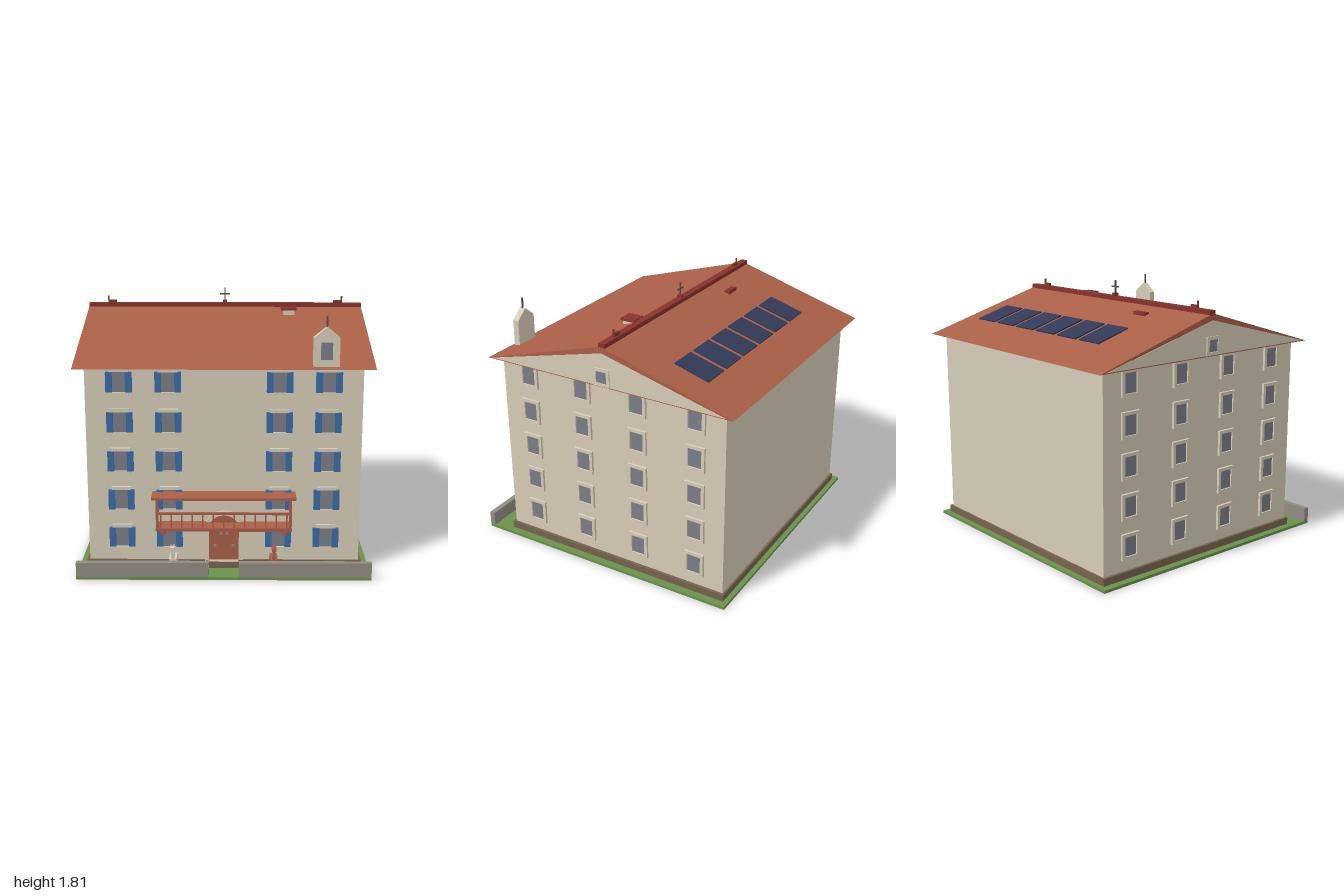
import * as THREE from 'three';

const mat = (name, color) => {
  const m = new THREE.MeshStandardMaterial({ color });
  m.name = name;
  return m;
};

export function createModel() {
  const root = new THREE.Group();
  root.name = 'apartmentHouse';
  const M = {
    wall: mat('cream plaster', 0xd6ccb7),
    roof: mat('terracotta', 0xaa5f47),
    ridge: mat('dark red tile', 0x88322c),
    blue: mat('shutter blue', 0x376ca8),
    glass: mat('window grey', 0x7b7d88),
    solar: mat('solar navy', 0x313a58),
    grass: mat('grass green', 0x6b924c),
    stone: mat('stone grey', 0x918b82),
    plinth: mat('plinth brown', 0x75644d),
    metal: mat('dark metal', 0x55524a),
  };

  // Helpers: a box given by its extents, and a profile extruded along z
  const add = (name, geo, m, parent = root) => {
    const mesh = new THREE.Mesh(geo, m);
    mesh.name = name;
    parent.add(mesh);
    return mesh;
  };
  const box = (name, m, x0, x1, y0, y1, z0, z1, parent) => {
    const g = new THREE.BoxGeometry(x1 - x0, y1 - y0, z1 - z0);
    g.translate((x0 + x1) / 2, (y0 + y1) / 2, (z0 + z1) / 2);
    return add(name, g, m, parent);
  };
  const poly = (pts) => new THREE.Shape(pts.map(([x, y]) => new THREE.Vector2(x, y)));
  const extrude = (shape, depth, z) =>
    new THREE.ExtrudeGeometry(shape, { depth, bevelEnabled: false, curveSegments: 12 }).translate(0, 0, z);

  // Ground, building body and front garden wall
  box('ground', M.grass, -0.98, 0.98, 0, 0.02, -0.97, 1);
  box('plinth', M.plinth, -0.93, 0.93, 0.02, 0.07, -0.935, 0.825);
  box('walls', M.wall, -0.91, 0.91, 0.02, 1.405, -0.92, 0.81);
  for (const s of [-1, 1]) {
    box('gardenWall', M.stone, Math.min(s * 0.1, s * 0.98), Math.max(s * 0.1, s * 0.98), 0.02, 0.12, 0.96, 1);
  }

  // Roof prism with gable plates on both ends
  const alongX = (pts, halfLength) =>
    extrude(poly(pts), halfLength * 2, -halfLength).rotateY(Math.PI / 2);
  add('roof', alongX([[-0.88, 1.4], [1, 1.4], [0.055, 1.68]], 0.982), M.roof);
  add('gables', alongX([[-0.84, 1.407], [0.95, 1.407], [0.055, 1.635]], 0.985), M.wall);
  box('ridge', M.ridge, -0.982, 0.982, 1.665, 1.7, -0.085, -0.035);
  for (const s of [-1, 1]) {
    box('ridgeBlock', M.ridge, s * 0.815 - 0.03, s * 0.815 + 0.03, 1.7, 1.72, -0.07, -0.05);
    box('ridgeSpike', M.ridge, s * 0.843 - 0.005, s * 0.843 + 0.005, 1.72, 1.75, -0.065, -0.055);
  }

  // Ridge cross
  box('crossBase', M.ridge, -0.015, 0.015, 1.7, 1.72, -0.075, -0.04);
  box('crossPost', M.metal, -0.005, 0.005, 1.7, 1.81, -0.062, -0.052);
  box('crossArm', M.metal, -0.035, 0.035, 1.76, 1.77, -0.062, -0.052);

  // Roof vents
  box('chimney', M.wall, 0.415, 0.495, 1.62, 1.668, 0.015, 0.1);
  box('chimneyCap', M.ridge, 0.4, 0.51, 1.667, 1.682, 0, 0.11);
  box('rearVent', M.ridge, -0.515, -0.405, 1.61, 1.65, -0.235, -0.195);

  // Solar panels, parallel to the rear slope
  const tilt = Math.atan2(0.28, 0.945);
  for (let i = 0; i < 6; i++) {
    const p = add('solarPanel', new THREE.BoxGeometry(0.2, 0.009, 0.257), M.solar);
    p.position.set(-0.52 + i * 0.239, 1.546, -0.593);
    p.rotation.x = -tilt;
  }

  // Small bell gable above the front eave
  add('bellGable', extrude(poly([[0.577, 1.4], [0.747, 1.4], [0.747, 1.6], [0.662, 1.67], [0.577, 1.6]]), 0.045, 0.795), M.wall);
  box('bellGableWindow', M.glass, 0.624, 0.7, 1.46, 1.57, 0.84, 0.847);
  box('bellGableSpike', M.metal, 0.657, 0.667, 1.66, 1.74, 0.813, 0.823);

  // Windows are built facing +z at the origin, then placed on a wall
  const makeWindow = (w, h, shutters) => {
    const g = new THREE.Group();
    g.name = shutters ? 'shutteredWindow' : 'window';
    const f = 0.022;
    box('frameTop', M.wall, -w / 2 - f, w / 2 + f, h / 2, h / 2 + f, 0, 0.018, g);
    box('frameBottom', M.wall, -w / 2 - f, w / 2 + f, -h / 2 - f, -h / 2, 0, 0.018, g);
    box('pane', M.glass, -w / 2, w / 2, -h / 2, h / 2, 0, 0.008, g);
    for (const s of [-1, 1]) {
      const c = s * (w / 2 + (shutters ? 0.0215 : f / 2));
      const half = shutters ? 0.0215 : f / 2;
      box(shutters ? 'shutter' : 'frameSide', shutters ? M.blue : M.wall,
        c - half, c + half, -h / 2, h / 2, 0, shutters ? 0.024 : 0.018, g);
    }
    root.add(g);
    return g;
  };
  for (const y of [0.235, 0.502, 0.769, 1.036, 1.305]) {
    for (const x of [-0.685, -0.365, 0.365, 0.685]) {
      makeWindow(0.086, 0.134, true).position.set(x, y, 0.81);
    }
    for (const z of [0.59, 0.16, -0.27, -0.705]) {
      for (const s of [-1, 1]) {
        const w = makeWindow(0.1, 0.132, false);
        w.position.set(s * 0.91, y, z);
        w.rotation.y = s * Math.PI / 2;
      }
    }
  }
  for (const s of [-1, 1]) {
    const w = makeWindow(0.078, 0.08, false);
    w.name = 'gableWindow';
    w.position.set(s * 0.984, 1.47, -0.055);
    w.rotation.y = s * Math.PI / 2;
    w.scale.z = 0.5;
  }

  // Arched door with plaster surround
  const arch = (r, top) => {
    const s = new THREE.Shape();
    s.moveTo(-r, 0.02);
    s.lineTo(r, 0.02);
    s.lineTo(r, 0.3);
    s.absellipse(0, 0.3, r, top - 0.3, 0, Math.PI, false);
    s.closePath();
    return s;
  };
  add('doorSurround', extrude(arch(0.128, 0.42), 0.02, 0.805), M.wall);
  add('door', extrude(arch(0.1, 0.39), 0.026, 0.805), M.roof);
  box('doorSill', M.wall, -0.1, 0.1, 0.065, 0.075, 0.81, 0.845);
  box('doorStep', M.plinth, -0.1, 0.1, 0.02, 0.065, 0.81, 0.845);
  for (const x of [-0.06, -0.02, 0.02, 0.06]) {
    const y = Math.abs(x) > 0.04 ? 0.18 : 0.262;
    box('doorFitting', M.stone, x - 0.01, x + 0.01, y - 0.008, y + 0.008, 0.83, 0.835);
  }

  // Balcony with canopy
  const balcony = new THREE.Group();
  balcony.name = 'balcony';
  root.add(balcony);
  box('balconyFloor', M.roof, -0.45, 0.45, 0.32, 0.343, 0.81, 0.945, balcony);
  box('canopy', M.roof, -0.477, 0.477, 0.54, 0.557, 0.81, 0.957, balcony);
  box('frontRail', M.roof, -0.45, 0.45, 0.435, 0.45, 0.925, 0.94, balcony);
  for (const s of [-1, 1]) {
    box('post', M.roof, s * 0.44 - 0.009, s * 0.44 + 0.009, 0.343, 0.54, 0.923, 0.941, balcony);
    box('sideRail', M.roof, s * 0.44 - 0.007, s * 0.44 + 0.007, 0.435, 0.45, 0.81, 0.925, balcony);
    box('bracket', M.roof, s * 0.405 - 0.016, s * 0.405 + 0.016, 0.283, 0.32, 0.81, 0.91, balcony);
  }
  for (let i = -6; i <= 6; i++) {
    box('baluster', M.roof, i * 0.0695 - 0.005, i * 0.0695 + 0.005, 0.343, 0.435, 0.927, 0.937, balcony);
  }

  // Two long-necked animals in the front garden
  for (const [x, m] of [[0.333, M.roof], [-0.34, M.wall]]) {
    const a = new THREE.Group();
    a.name = 'gardenAnimal';
    a.position.x = x;
    root.add(a);
    box('body', m, -0.026, 0.026, 0.075, 0.127, 0.835, 0.95, a);
    box('neck', m, -0.01, 0.01, 0.12, 0.2, 0.936, 0.956, a);
    box('head', m, -0.015, 0.015, 0.195, 0.22, 0.938, 0.983, a);
    for (const s of [-1, 1]) {
      box('ear', m, s * 0.01 - 0.004, s * 0.01 + 0.004, 0.22, 0.232, 0.94, 0.948, a);
      for (const z of [0.855, 0.93]) {
        box('leg', m, s * 0.017 - 0.006, s * 0.017 + 0.006, 0.02, 0.075, z - 0.006, z + 0.006, a);
      }
    }
  }
  return root;
}
